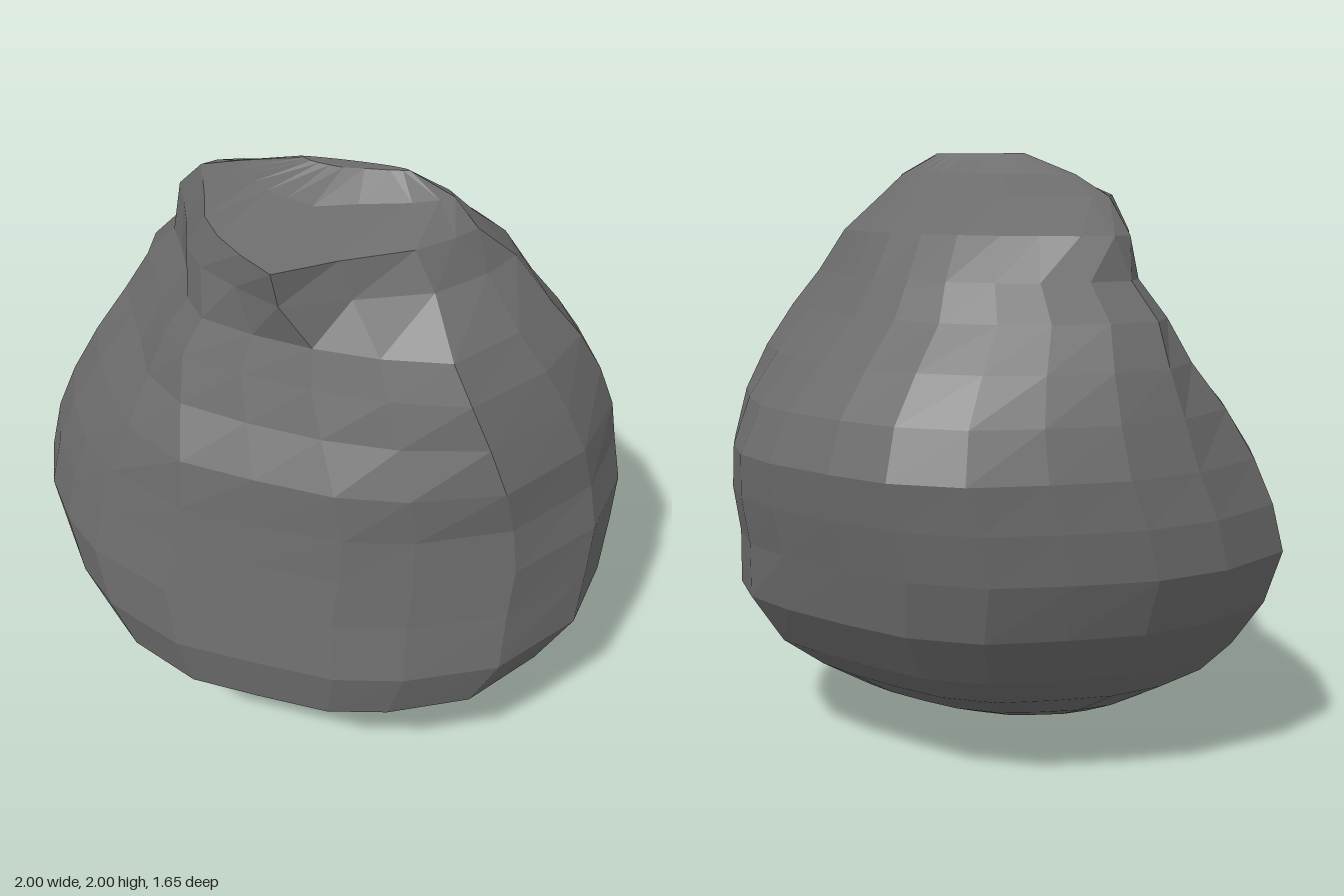
import * as THREE from 'three';

// Plan outlines in unit coordinates [x, z], from the left side round the front
const body = [
  [-1, 0.12], [-0.92, 0.38], [-0.8, 0.6], [-0.65, 0.78], [-0.36, 0.95], [-0.08, 0.98], [0.2, 1],
  [0.43, 0.94], [0.73, 0.77], [0.95, 0.42], [1, 0.06], [0.9, -0.27], [0.78, -0.5], [0.64, -0.7],
  [0.45, -0.83], [0.17, -0.94], [-0.07, -1], [-0.33, -0.95], [-0.55, -0.77], [-0.76, -0.56], [-0.91, -0.28],
];
// cut away on the left front, square at the right front, flat at the right back
const shoulder = [
  [-0.97, -0.17], [-0.87, 0.06], [-0.78, 0.31], [-0.7, 0.62], [-0.58, 0.82], [-0.31, 0.92], [-0.01, 0.98],
  [0.31, 1], [0.64, 0.95], [0.89, 0.53], [1, 0.13], [0.87, -0.22], [0.66, -0.47], [0.45, -0.67],
  [0.26, -0.83], [0.02, -0.95], [-0.21, -1], [-0.46, -0.96], [-0.66, -0.84], [-0.86, -0.65], [-1, -0.4],
];
// a wedge that points to the front
const crown = [
  [-1, -0.71], [-0.92, -0.43], [-0.84, -0.14], [-0.76, 0.2], [-0.6, 0.5], [-0.4, 0.75], [-0.15, 1],
  [0.22, 0.66], [0.66, 0.34], [0.88, 0.07], [1, -0.15], [0.93, -0.45], [0.76, -0.66], [0.62, -0.79],
  [0.45, -0.87], [0.22, -0.94], [-0.04, -1], [-0.3, -1], [-0.52, -0.97], [-0.74, -0.91], [-0.91, -0.83],
];

// Cross-sections from the foot to the ridge: [y, xMin, xMax, zMin, zMax]
const levels = [
  [0, 0.03, 0.03, 0.17, 0.17],
  [0.055, -0.33, 0.46, -0.01, 0.45],
  [0.12, -0.47, 0.64, -0.18, 0.53],
  [0.25, -0.7, 0.75, -0.44, 0.7],
  [0.36, -0.81, 0.85, -0.59, 0.81],
  [0.53, -0.93, 0.97, -0.72, 0.83],
  [0.72, -1, 0.99, -0.77, 0.79],
  [0.88, -0.97, 1, -0.8, 0.76],
  [1.03, -0.91, 0.97, -0.82, 0.74],
  [1.19, -0.83, 0.95, -0.76, 0.73],
  [1.34, -0.74, 0.9, -0.65, 0.66],
  [1.48, -0.66, 0.83, -0.52, 0.61],
  [1.6, -0.55, 0.73, -0.43, 0.57],
  [1.74, -0.53, 0.61, -0.3, 0.58],
  [1.86, -0.42, 0.5, -0.1, 0.6],
  [1.93, -0.27, 0.42, 0.04, 0.31],
  [2, -0.06, 0.28, 0.13, 0.18],
  [2, 0.11, 0.11, 0.16, 0.16],
];

const { lerp, smoothstep } = THREE.MathUtils;
const bump = (v, centre, width) => Math.exp(-(((v - centre) / width) ** 2));

// Outline point i at height y, passing from body to shoulder to crown
function planPoint(i, y) {
  const s = smoothstep(y, 1, 1.56);
  const c = smoothstep(y, 1.58, 1.86);
  return [0, 1].map((k) => lerp(lerp(body[i][k], shoulder[i][k], s), crown[i][k], c));
}

function boulderGeometry() {
  const n = body.length;
  const positions = [];
  const indices = [];
  levels.forEach(([y, x0, x1, z0, z1], j) => {
    for (let i = 0; i < n; i++) {
      const [u, v] = planPoint(i, y);
      // fuller low on the right back
      const r = 1 + 0.09 * bump(Math.atan2(v, u), -0.65, 0.4) * bump(y, 0.38, 0.2);
      positions.push(
        (x0 + x1) / 2 + (r * u * (x1 - x0)) / 2,
        y,
        (z0 + z1) / 2 + (r * v * (z1 - z0)) / 2,
      );
    }
  });
  // the first and last rings are single points, closed by fans
  for (let j = 0; j < levels.length - 1; j++) {
    for (let i = 0; i < n; i++) {
      const a = j * n + i;
      const b = j * n + ((i + 1) % n);
      if (j > 0) indices.push(a, b, b + n);
      if (j < levels.length - 2) indices.push(a, b + n, a + n);
    }
  }
  const geometry = new THREE.BufferGeometry();
  geometry.setAttribute('position', new THREE.Float32BufferAttribute(positions, 3));
  geometry.setIndex(indices);
  // separate faces give crisp facets
  const faceted = geometry.toNonIndexed();
  faceted.computeVertexNormals();
  return faceted;
}

export function createModel() {
  const stone = new THREE.MeshStandardMaterial({ color: 0x6b6b6b });
  stone.name = 'stone grey';
  stone.flatShading = true;

  const boulder = new THREE.Mesh(boulderGeometry(), stone);
  boulder.name = 'boulder';

  const group = new THREE.Group();
  group.name = 'rock';
  group.add(boulder);
  return group;
}
